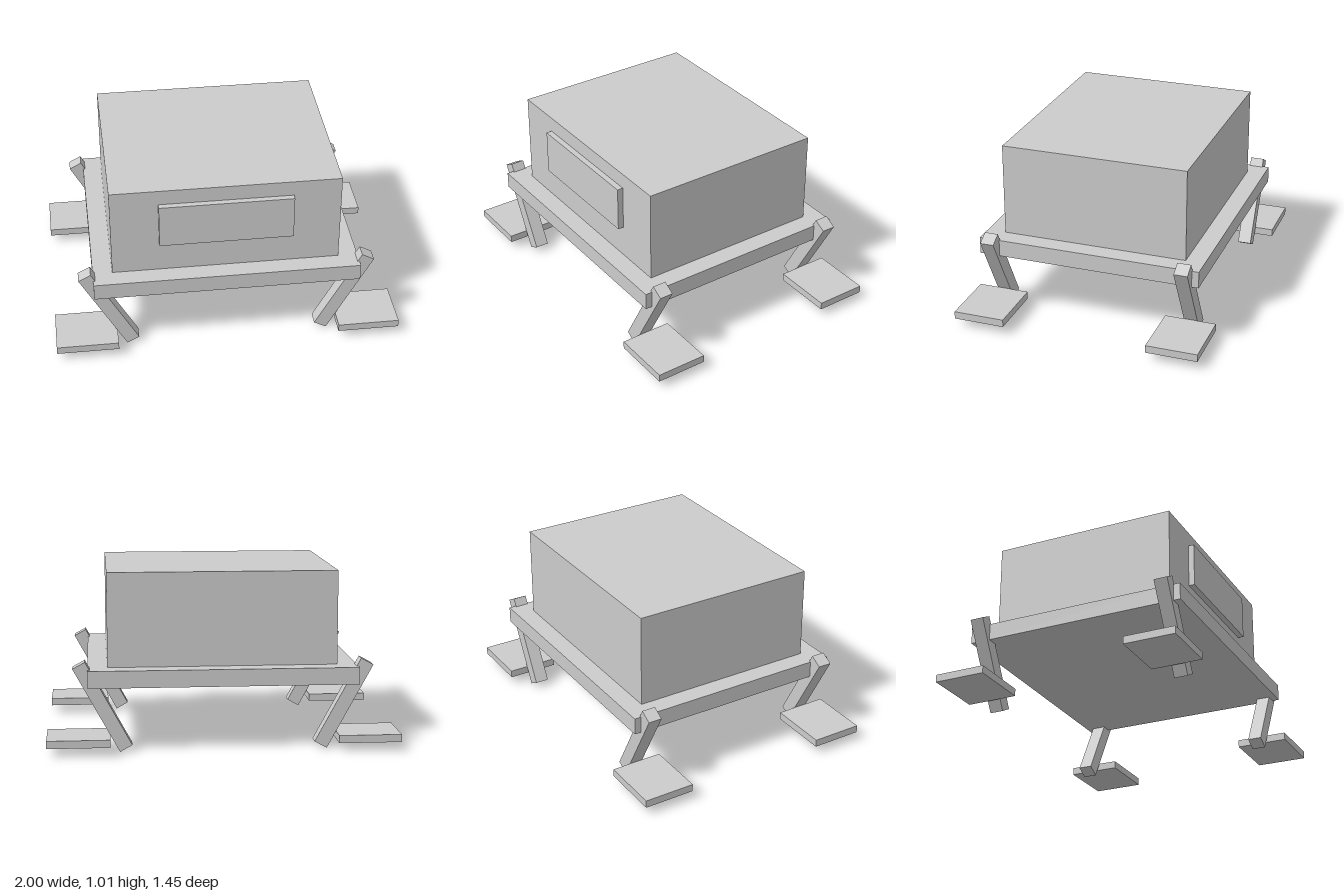
import * as THREE from 'three';

export function createModel() {
  const model = new THREE.Group();
  model.name = 'leggedBox';
  const grey = new THREE.MeshStandardMaterial({ color: 0xcccccc });
  grey.name = 'light grey';

  const box = (name, size, position) => {
    const mesh = new THREE.Mesh(new THREE.BoxGeometry(...size), grey);
    mesh.name = name;
    mesh.position.set(...position);
    model.add(mesh);
    return mesh;
  };

  // Body, base deck and raised front panel
  box('body', [1.31, 0.54, 1.09], [0, 0.745, 0]);
  box('deck', [1.535, 0.098, 1.31], [0, 0.427, 0]);
  box('frontPanel', [0.765, 0.26, 0.035], [0, 0.795, 0.562]);

  // Four slanted legs, each with a flat foot plate outside it
  for (const x of [1, -1]) {
    for (const z of [1, -1]) {
      const name = (z > 0 ? 'front' : 'back') + (x > 0 ? 'Left' : 'Right');
      const leg = box(name + 'Leg', [0.08, 0.546, 0.08], [x * 0.685, 0.263, z * 0.575]);
      leg.rotation.z = -x * 0.5;
      box(name + 'Foot', [0.357, 0.044, 0.3], [x * 0.8215, 0.078, z * 0.575]);
    }
  }
  return model;
}
